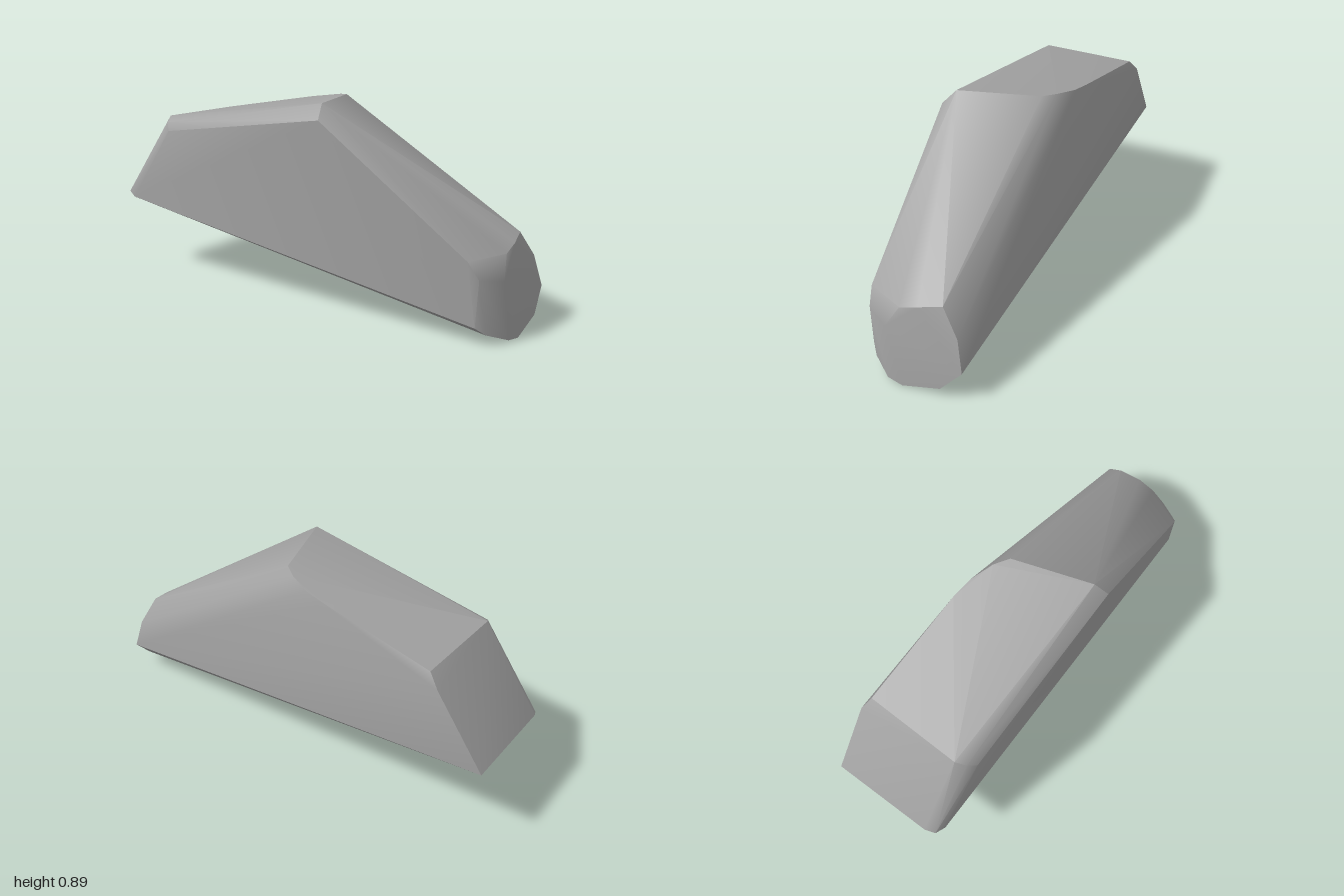
import * as THREE from 'three';
import { ConvexGeometry } from 'three/addons/geometries/ConvexGeometry.js';
import { toCreasedNormals } from 'three/addons/utils/BufferGeometryUtils.js';

// Corner rings of the boulder, grouped by region
const corners = {
  // blunt sloping end at -x
  leftEnd: [
    [-0.99, 0.39, -0.29], [-0.77, 0.70, -0.287], [-0.72, 0.755, -0.262],
    [-0.74, 0.76, 0.17], [-1, 0.39, 0.17], [-0.985, 0.372, 0.215],
    [-0.98, 0.365, 0], [-0.95, 0.35, 0.2], [-0.94, 0.352, 0.232],
  ],
  // broad front face with its bevelled upper edge
  front: [
    [-0.72, 0.735, 0.215], [-0.69, 0.70, 0.243], [0.18, 0.83, 0.29],
    [0.86, 0.34, 0.273], [0.905, 0.27, 0.262], [0.895, 0.075, 0.265],
    [0.93, 0.045, 0.235],
  ],
  // peak ridge, rounding over towards the back
  ridge: [
    [0.16, 0.893, 0.23], [0.06, 0.887, -0.12], [0, 0.88, -0.165],
    [-0.1, 0.863, -0.208], [-0.2, 0.848, -0.225],
  ],
  // narrow end at +x
  rightEnd: [
    [0.925, 0.39, -0.08], [0.945, 0.37, 0.02], [0.945, 0.345, 0.1],
    [0.965, 0.25, 0.16], [0.99, 0.01, 0.15], [1, 0, 0.08],
    [1, 0.045, -0.09], [0.99, 0.145, -0.183], [0.96, 0.28, -0.155],
  ],
};

export function createModel() {
  const group = new THREE.Group();
  group.name = 'boulder';

  const stone = new THREE.MeshStandardMaterial({ color: 0xa0a0a0 });
  stone.name = 'stone grey';

  // Faceted hull with softened shallow edges
  const points = Object.values(corners).flat().map((p) => new THREE.Vector3(...p));
  const geometry = toCreasedNormals(new ConvexGeometry(points), THREE.MathUtils.degToRad(32));

  const rock = new THREE.Mesh(geometry, stone);
  rock.name = 'rock';
  group.add(rock);
  return group;
}
